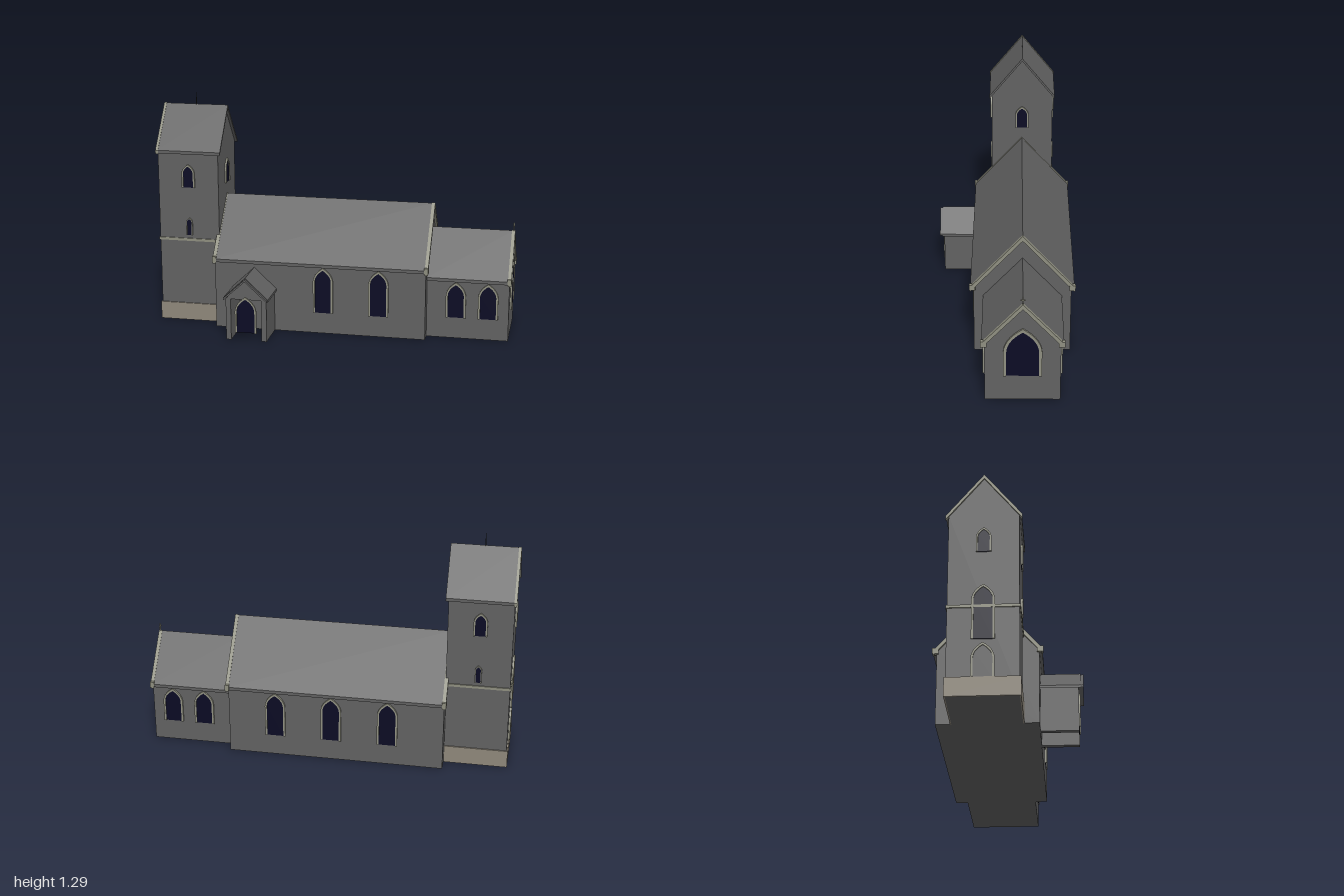
import * as THREE from 'three';

const mat = (name, color) => {
  const m = new THREE.MeshStandardMaterial({ color });
  m.name = name;
  return m;
};

export function createModel() {
  const stone = mat('stone', 0x626262);
  const slate = mat('slate', 0x616161);
  const trim = mat('pale trim', 0x8f8f80);
  const base = mat('plinth stone', 0x8f887b);
  const glass = mat('dark glass', 0x0b0b24);
  const iron = mat('iron', 0x2c2c2c);

  const church = new THREE.Group();
  church.name = 'church';
  const ZC = -0.1; // shared centre line of tower, nave and chancel

  const add = (parent, name, geo, material) => {
    const m = new THREE.Mesh(geo, material);
    m.name = name;
    parent.add(m);
    return m;
  };
  const group = (name) => {
    const g = new THREE.Group();
    g.name = name;
    church.add(g);
    return g;
  };
  // Box given by its limits on each axis
  const box = (parent, name, material, x0, x1, y0, y1, z0, z1) => {
    const m = add(parent, name, new THREE.BoxGeometry(x1 - x0, y1 - y0, z1 - z0), material);
    m.position.set((x0 + x1) / 2, (y0 + y1) / 2, (z0 + z1) / 2);
    return m;
  };
  const extrude = (pts, depth) => new THREE.ExtrudeGeometry(
    new THREE.Shape(pts.map(([x, y]) => new THREE.Vector2(x, y))), { depth, bevelEnabled: false });

  // Cross-sections: a gabled wall block and a two-slope roof of given thickness
  const house = (h, y0, eave, ridge) => [[-h, y0], [h, y0], [h, eave], [0, ridge], [-h, eave]];
  const chevron = (h, eave, ridge, t) =>
    [[-h, eave - t], [0, ridge - t], [h, eave - t], [h, eave], [0, ridge], [-h, eave]];
  // Run a section along x, centred on the church's centre line
  const alongX = (parent, name, material, pts, x0, x1) => {
    const m = add(parent, name, extrude(pts, x1 - x0).rotateY(Math.PI / 2), material);
    m.position.set(x0, 0, ZC);
    return m;
  };

  // Pointed arch outline from the right foot over the apex to the left foot
  const arch = (h, bottom, top) => {
    const spring = top - 1.4 * h, right = [[h, bottom]];
    const curve = new THREE.QuadraticBezierCurve(
      new THREE.Vector2(h, spring), new THREE.Vector2(h * 0.95, spring + h * 0.8), new THREE.Vector2(0, top));
    for (const p of curve.getPoints(7)) right.push([p.x, p.y]);
    const left = right.slice(0, -1).reverse().map(([x, y]) => [-x, y]);
    return right.concat(left);
  };
  // Arched opening with a stone surround, facing south, north, east or west
  const turns = { south: 0, east: Math.PI / 2, north: Math.PI, west: -Math.PI / 2 };
  const opening = (parent, name, side, x, z, h, bottom, top, rim = 0.011, fill = glass) => {
    const g = new THREE.Group();
    g.name = name;
    const inner = arch(h - rim, bottom, top - rim * 1.2);
    add(g, 'surround', extrude(arch(h, bottom, top).concat([...inner].reverse()), 0.01), trim);
    add(g, 'pane', extrude(inner, 0.005), fill);
    g.position.set(x, 0, z);
    g.rotation.y = turns[side];
    parent.add(g);
  };

  // Tower
  const tower = group('tower');
  const tx = -0.817, th = 0.178;
  alongX(tower, 'towerWalls', stone, house(th, 0, 0.99, 1.212), -0.99, -0.645);
  alongX(tower, 'towerRoof', slate, chevron(0.19, 0.988, 1.222, 0.017), -0.99, -0.63);
  alongX(tower, 'towerCoping', trim, chevron(0.193, 0.988, 1.225, 0.022), -1, -0.985);
  box(tower, 'plinth', base, -0.997, -0.645, 0, 0.1, ZC - 0.185, ZC + 0.185);
  box(tower, 'stringCourse', trim, -0.996, -0.645, 0.47, 0.485, ZC - 0.184, ZC + 0.184);
  add(tower, 'spireRod', new THREE.CylinderGeometry(0.002, 0.003, 0.075, 6), iron)
    .position.set(-0.812, 1.25, ZC);
  for (const [side, s] of [['south', 1], ['north', -1]]) {
    opening(tower, 'belfryWindow', side, tx, ZC + s * th, 0.037, 0.78, 0.912, 0.009);
    opening(tower, 'slitWindow', side, tx, ZC + s * th, 0.018, 0.505, 0.605, 0.005);
  }
  opening(tower, 'belfryWindow', 'east', -0.645, ZC, 0.039, 0.78, 0.915, 0.009);
  opening(tower, 'belfryWindow', 'west', -0.99, ZC, 0.039, 0.78, 0.915, 0.009);
  opening(tower, 'westWindow', 'west', -0.99, ZC, 0.058, 0.3, 0.595);
  opening(tower, 'westDoor', 'west', -0.99, ZC, 0.058, 0.1, 0.28, 0.011, slate);

  // Gable coping with kneeler blocks at its feet
  const coping = (parent, x0, x1, h, eave, ridge) => {
    alongX(parent, 'gableCoping', trim, chevron(h, eave, ridge, 0.028), x0, x1);
    for (const s of [-1, 1]) {
      const z = ZC + s * (h - 0.012);
      box(parent, 'kneeler', trim, x0 - 0.002, x1 + 0.001, eave - 0.02, eave + 0.012, z - 0.016, z + 0.016);
    }
  };

  // Nave
  const nave = group('nave');
  alongX(nave, 'naveWalls', stone, house(0.26, 0, 0.405, 0.698), -0.65, 0.535);
  alongX(nave, 'naveRoof', slate, chevron(0.277, 0.402, 0.712, 0.018), -0.65, 0.535);
  coping(nave, -0.66, -0.64, 0.278, 0.404, 0.714);
  coping(nave, 0.53, 0.549, 0.278, 0.404, 0.714);
  for (const x of [-0.035, 0.275]) opening(nave, 'naveWindow', 'south', x, ZC + 0.26, 0.056, 0.12, 0.38);
  for (const x of [-0.345, -0.035, 0.275]) opening(nave, 'naveWindow', 'north', x, ZC - 0.26, 0.056, 0.12, 0.38);

  // Chancel
  const chancel = group('chancel');
  alongX(chancel, 'chancelWalls', stone, house(0.195, 0, 0.348, 0.566), 0.53, 0.985);
  alongX(chancel, 'chancelRoof', slate, chevron(0.21, 0.345, 0.578, 0.018), 0.535, 0.985);
  coping(chancel, 0.976, 0.995, 0.211, 0.347, 0.58);
  for (const x of [0.695, 0.872]) {
    opening(chancel, 'chancelWindow', 'south', x, ZC + 0.195, 0.055, 0.12, 0.322);
    opening(chancel, 'chancelWindow', 'north', x, ZC - 0.195, 0.055, 0.12, 0.322);
  }
  opening(chancel, 'eastWindow', 'east', 0.985, ZC, 0.099, 0.15, 0.435, 0.016);
  box(chancel, 'crossShaft', trim, 0.984, 0.99, 0.575, 0.622, ZC - 0.003, ZC + 0.003);
  box(chancel, 'crossArm', trim, 0.984, 0.99, 0.6, 0.606, ZC - 0.013, ZC + 0.013);

  // Porch: two side walls, gabled roof and an arched door set between the walls
  const porch = group('porch');
  const px = -0.425;
  for (const s of [-1, 1]) {
    const x = px + s * 0.1;
    box(porch, 'porchWall', stone, x - 0.014, x + 0.014, 0, 0.24, 0.155, 0.355);
  }
  add(porch, 'porchGable', extrude([[-0.114, 0.235], [0.114, 0.235], [0, 0.35]], 0.2), stone)
    .position.set(px, 0, 0.155);
  add(porch, 'porchRoof', extrude(chevron(0.125, 0.244, 0.362, 0.014), 0.21), slate)
    .position.set(px, 0, 0.155);
  add(porch, 'bargeboards', extrude(chevron(0.122, 0.245, 0.356, 0.012), 0.016), slate)
    .position.set(px, 0, 0.364);
  opening(porch, 'porchDoor', 'south', px - 0.002, 0.352, 0.06, 0.045, 0.25, 0.01);

  return church;
}
